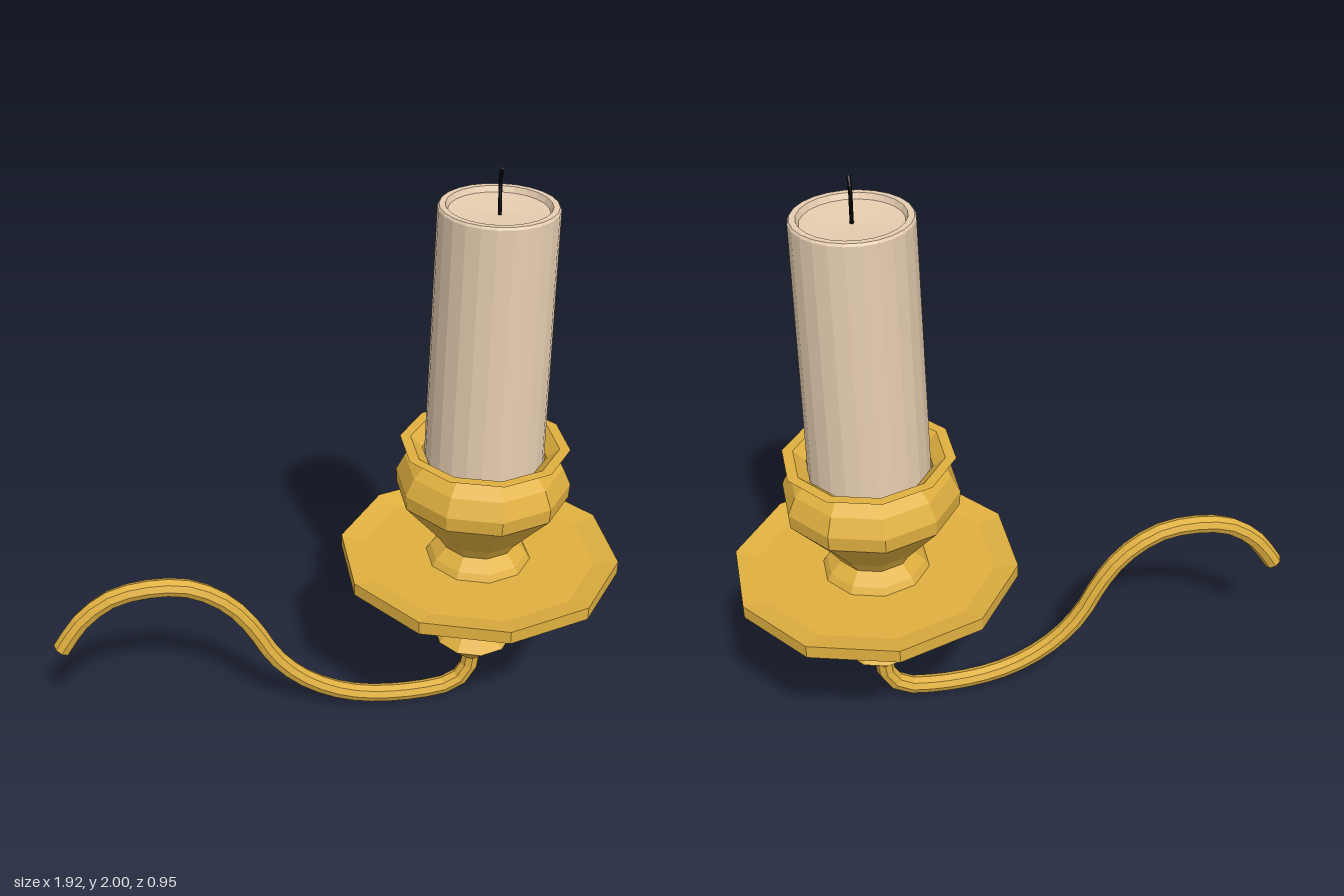
import * as THREE from 'three';

const AXIS_X = 0.5; // the candle stands off to one side of the arm

const faceted = (color) =>
  new THREE.MeshStandardMaterial({ color, flatShading: true, side: THREE.DoubleSide });
const gold = faceted(0xe0b040);
const wax = faceted(0xe6cdb0);
const black = faceted(0x080808);

// Turned part from [radius, height] pairs, listed from the bottom outside to the top inside
function turned(name, profile, sides, material) {
  const points = profile.map(([r, y]) => new THREE.Vector2(r, y));
  const mesh = new THREE.Mesh(new THREE.LatheGeometry(points, sides), material);
  mesh.name = name;
  mesh.position.x = AXIS_X;
  return mesh;
}

// Round rod along a smooth path, closed at both ends
function rod(name, path, steps, radius, sides, material) {
  const group = new THREE.Group();
  group.name = name;
  const curve = new THREE.CatmullRomCurve3(path.map((p) => new THREE.Vector3(...p)));
  group.add(new THREE.Mesh(new THREE.TubeGeometry(curve, steps, radius, sides), material));
  for (const t of [0, 1]) {
    const cap = new THREE.Mesh(new THREE.CircleGeometry(radius, sides), material);
    const p = curve.getPointAt(t);
    const outward = curve.getTangentAt(t).multiplyScalar(t ? 1 : -1);
    cap.position.copy(p);
    cap.lookAt(p.clone().add(outward));
    group.add(cap);
  }
  return group;
}

export function createModel() {
  const model = new THREE.Group();
  model.name = 'candleSconce';

  // S-shaped arm
  model.add(rod('arm', [
    [-0.937, 0.355, 0], [-0.86, 0.467, 0], [-0.75, 0.55, 0], [-0.61, 0.577, 0],
    [-0.49, 0.563, 0], [-0.37, 0.49, 0], [-0.29, 0.39, 0], [-0.21, 0.245, 0],
    [-0.11, 0.14, 0], [0.02, 0.067, 0], [0.15, 0.036, 0], [0.32, 0.034, 0],
    [0.43, 0.056, 0], [0.485, 0.11, 0], [0.5, 0.2, 0],
  ], 28, 0.032, 8, gold));

  // Knob and short column under the dish
  model.add(turned('stem', [
    [0, 0.18], [0.035, 0.18], [0.135, 0.272], [0.09, 0.323], [0.087, 0.46],
  ], 10, gold));

  // Drip dish
  model.add(turned('dripDish', [
    [0, 0.45], [0.09, 0.45], [0.3, 0.517], [0.475, 0.59], [0.475, 0.635],
    [0.395, 0.618], [0, 0.612],
  ], 10, gold));

  // Candle cup with flared foot and lip, hollow inside
  model.add(turned('cup', [
    [0.18, 0.612], [0.165, 0.638], [0.125, 0.675], [0.155, 0.72], [0.21, 0.785],
    [0.287, 0.875], [0.29, 0.925], [0.262, 0.985], [0.222, 1.022], [0.28, 1.055],
    [0.245, 1.055], [0.205, 1.02], [0.205, 0.93], [0, 0.93],
  ], 10, gold));

  // Candle with a raised rim around the melted hollow
  model.add(turned('candle', [
    [0, 0.931], [0.198, 0.931], [0.186, 1.872], [0.181, 1.88], [0.162, 1.88],
    [0.154, 1.862], [0, 1.852],
  ], 24, wax));

  // Bent wick
  model.add(rod('wick', [
    [AXIS_X, 1.85, 0.01], [AXIS_X, 1.9, 0.004], [AXIS_X, 1.95, -0.005],
    [AXIS_X, 1.98, 0], [AXIS_X, 1.998, 0.013],
  ], 10, 0.006, 6, black));

  return model;
}
